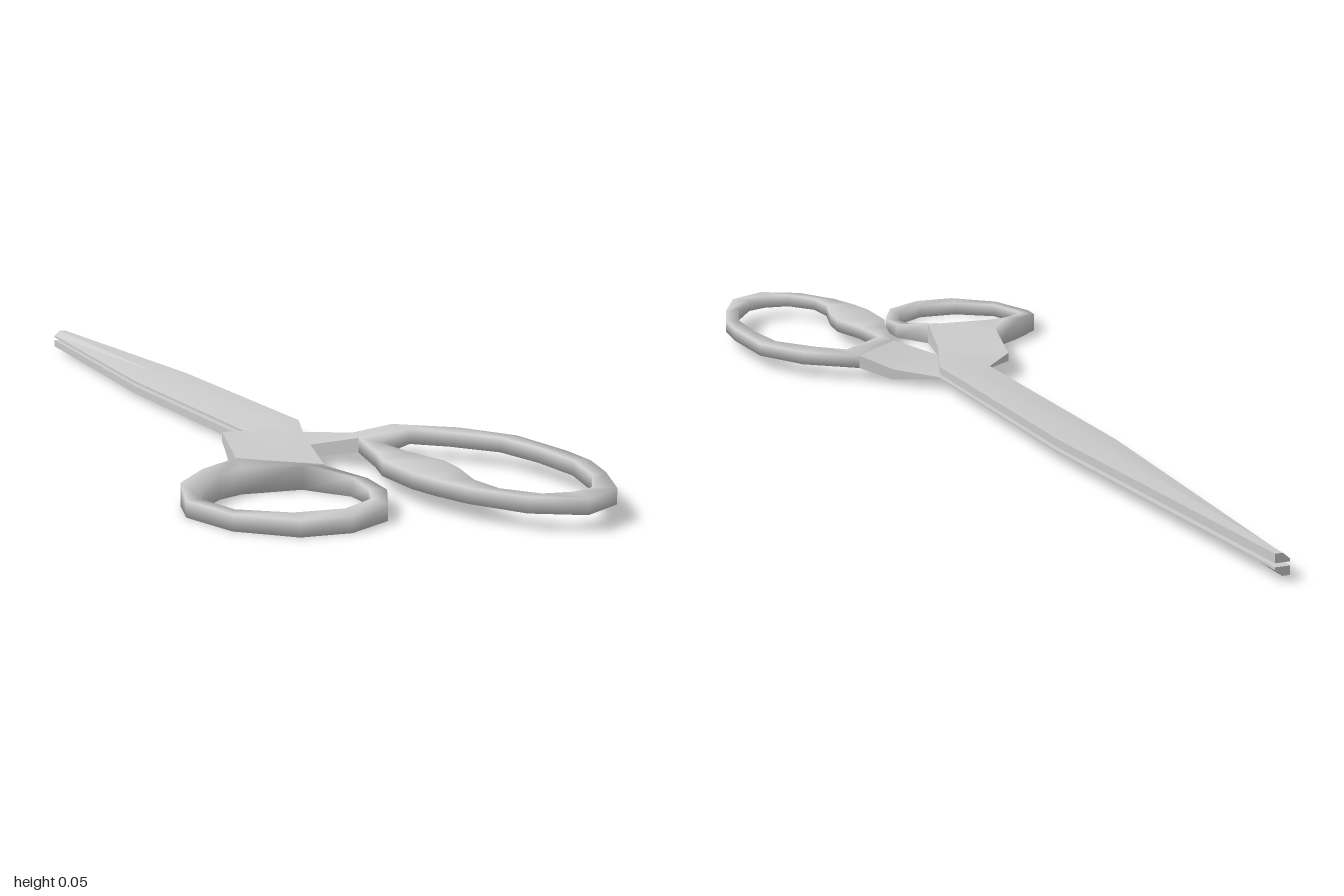
import * as THREE from 'three';
import { toCreasedNormals } from 'three/addons/utils/BufferGeometryUtils.js';

// Skins a list of equal-sized cross-sections; capped at both ends unless it is a closed ring.
function loft(sections, ring) {
  const n = sections[0].length, m = sections.length, index = [];
  const pts = sections.flat();
  for (let i = 0; i < (ring ? m : m - 1); i++) {
    for (let j = 0; j < n; j++) {
      const k = (j + 1) % n, o = ((i + 1) % m) * n;
      const a = i * n + j, b = i * n + k, c = o + k, d = o + j;
      index.push(a, b, c, a, c, d);
    }
  }
  if (!ring) {
    const e = (m - 1) * n;
    for (let j = 1; j < n - 1; j++) index.push(0, j + 1, j, e, e + j, e + j + 1);
  }
  // Turn the faces outward if the enclosed volume comes out negative
  let volume = 0;
  const v = pts.map((p) => new THREE.Vector3(...p));
  for (let i = 0; i < index.length; i += 3) {
    volume += v[index[i]].dot(v[index[i + 1]].clone().cross(v[index[i + 2]]));
  }
  if (volume < 0) index.reverse();
  const geo = new THREE.BufferGeometry();
  geo.setAttribute('position', new THREE.Float32BufferAttribute(pts.flat(), 3));
  geo.setIndex(index);
  geo.computeVertexNormals();
  return geo;
}

// Blade and shank; each row: cutting side x,z, spine side x,z, inner face y, outer face y, edge y
function bladeGeometry(rows) {
  const sections = rows.map(([cx, cz, sx, sz, yIn, yOut, yEdge]) => [
    [cx, yIn, cz], [cx, yEdge, cz],
    [(cx + sx) / 2, yOut, (cz + sz) / 2],
    [sx, yOut, sz], [sx, yIn, sz],
  ]);
  return toCreasedNormals(loft(sections, false), 0.35);
}

// Finger ring; each row: outer x,z, inner x,z
function ringGeometry(rows, bottom, top) {
  return loft(rows.map(([ox, oz, ix, iz]) => [
    [ox, bottom, oz], [ox, top(oz), oz],
    [ix, top(iz), iz], [ix, bottom, iz],
  ]), true);
}

export function createModel() {
  const group = new THREE.Group();
  const material = new THREE.MeshStandardMaterial({ color: 0xcccccc });
  const add = (name, geometry) => {
    const mesh = new THREE.Mesh(geometry, material);
    mesh.name = name;
    group.add(mesh);
  };

  // Upper blade, its shank dropping to the small ring
  add('upperBlade', bladeGeometry([
    [-0.012, -1, 0.012, -1, 0.028, 0.042, 0.032],
    [-0.052, -0.33, 0.052, -0.33, 0.028, 0.042, 0.032],
    [-0.052, 0.24, 0.052, 0.23, 0.028, 0.042, 0.032],
    [-0.11, 0.29, 0, 0.38, 0.026, 0.042, 0.042],
    [-0.17, 0.51, -0.06, 0.6, 0, 0.041, 0.041],
  ]));

  // Lower blade, its shank rising to the large ring
  add('lowerBlade', bladeGeometry([
    [0.012, -1, -0.012, -1, 0.022, 0.008, 0.018],
    [0.052, -0.33, -0.052, -0.33, 0.022, 0.008, 0.018],
    [0.052, 0.23, -0.052, 0.24, 0.022, 0.008, 0.018],
    [0.12, 0.3, 0, 0.38, 0.028, 0.008, 0.008],
    [0.17, 0.35, 0.065, 0.45, 0.048, 0.024, 0.024],
  ]));

  // Thumb ring, thickened where it meets the shank
  add('smallRing', ringGeometry([
    [-0.17, 0.51, -0.19, 0.585],
    [-0.25, 0.575, -0.235, 0.61],
    [-0.305, 0.63, -0.285, 0.665],
    [-0.325, 0.71, -0.3, 0.71],
    [-0.295, 0.82, -0.28, 0.79],
    [-0.22, 0.89, -0.21, 0.84],
    [-0.14, 0.89, -0.13, 0.84],
    [-0.06, 0.835, -0.065, 0.79],
    [-0.018, 0.74, -0.04, 0.72],
    [-0.018, 0.67, -0.04, 0.66],
    [-0.06, 0.6, -0.09, 0.585],
  ], 0, (z) => 0.025 + 0.017 * THREE.MathUtils.clamp((0.7 - z) / 0.12, 0, 1)));

  // Finger ring with the swollen grip on its inner side
  add('largeRing', ringGeometry([
    [0.17, 0.35, 0.175, 0.41],
    [0.26, 0.42, 0.225, 0.455],
    [0.315, 0.52, 0.28, 0.53],
    [0.325, 0.67, 0.295, 0.63],
    [0.32, 0.75, 0.295, 0.74],
    [0.295, 0.84, 0.265, 0.85],
    [0.25, 0.95, 0.22, 0.93],
    [0.175, 1, 0.18, 0.95],
    [0.1, 0.96, 0.13, 0.945],
    [0.05, 0.87, 0.09, 0.89],
    [0.03, 0.8, 0.085, 0.82],
    [0.02, 0.745, 0.105, 0.73],
    [0.02, 0.64, 0.11, 0.67],
    [0.04, 0.57, 0.09, 0.59],
    [0.065, 0.45, 0.08, 0.495],
  ], 0.024, () => 0.048));

  return group;
}
